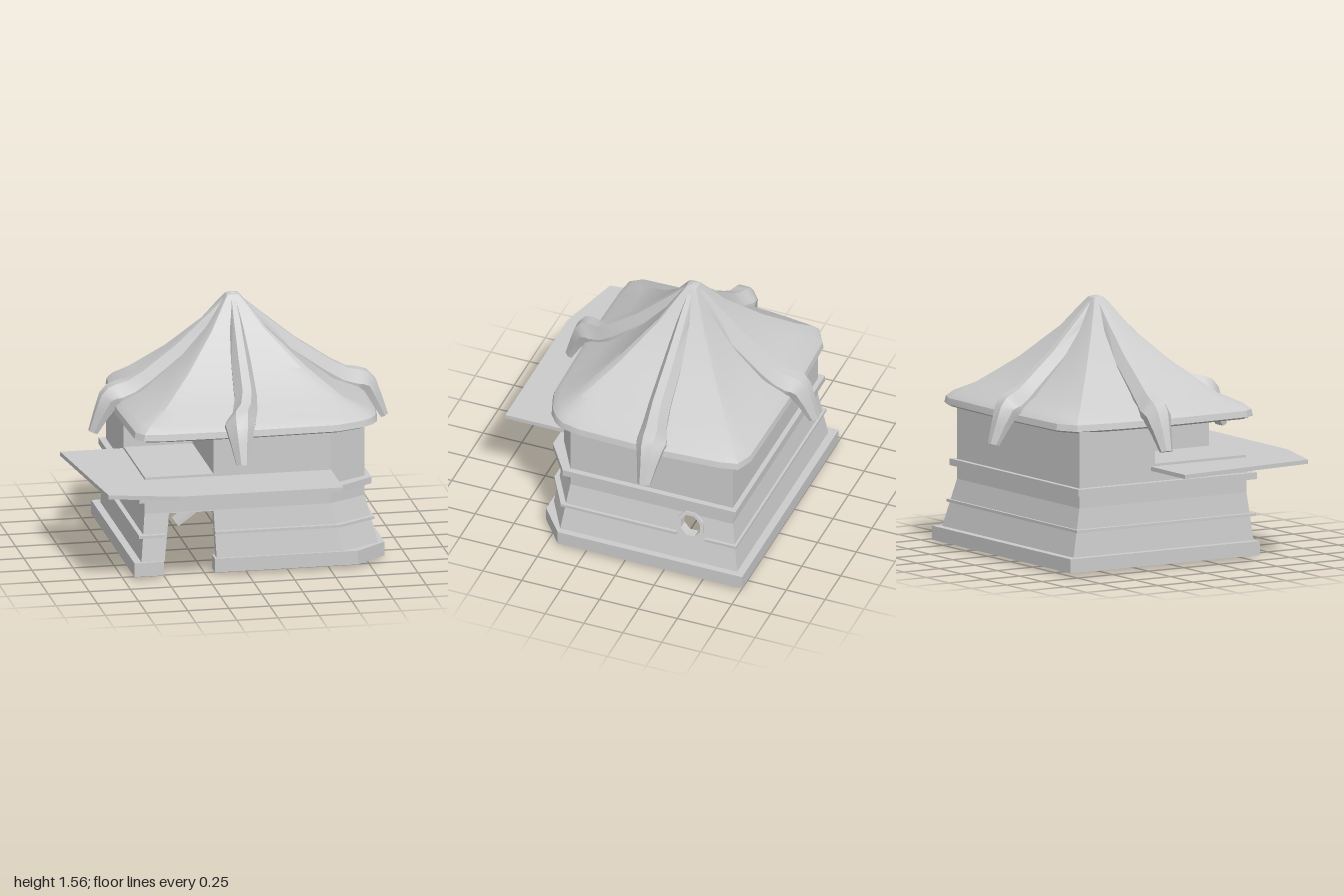
import * as THREE from 'three';
import { toCreasedNormals, mergeVertices } from 'three/addons/utils/BufferGeometryUtils.js';

const mat = new THREE.MeshStandardMaterial({ color: 0xcccccc, side: THREE.DoubleSide });
const flatMat = new THREE.MeshStandardMaterial({ color: 0xcccccc, side: THREE.DoubleSide, flatShading: true });

// Floor outlines: left, right, back, front, then the cut of the front-left corner in x and z
const BASE = [-0.69, 0.86, -0.76, 0.575, 0.19, 0.15];
const FOOT = [-0.645, 0.82, -0.712, 0.56, 0.235, 0.135];
const WALL = [-0.62, 0.745, -0.655, 0.525, 0.235, 0.135];
const BELT = [-0.66, 0.78, -0.685, 0.575, 0.22, 0.15];
const LEDGE = [-0.66, 0.797, -0.695, 0.566, 0.235, 0.135];

// Corners in order: front, cut corner, left side, back, right side
const corners = ([l, r, b, f, cx, cz]) =>
  [[l, f], [r - cx, f], [r, f - cz], [r, b], [l, b]].map(([x, z]) => new THREE.Vector2(x, z));

const outline = pts => new THREE.Shape(pts.map(p => new THREE.Vector2(...p)));
const rect = (s0, s1, y0, y1) => outline([[s0, y0], [s1, y0], [s1, y1], [s0, y1]]);

function octagon(s, y, rs, ry) {
  return Array.from({ length: 8 }, (_, i) => {
    const a = (i + 0.5) * Math.PI / 4;
    return new THREE.Vector2(s + Math.cos(a) * rs, y + Math.sin(a) * ry);
  });
}

// Wall panel: shape in (fraction along the side, height), bent between a lower and an upper outline
function panel(group, name, side, shape, lower, upper, y0, y1, depth, out = 0) {
  const lo = corners(lower), hi = corners(upper), next = (side + 1) % 5;
  const n = lo[next].clone().sub(lo[side]).normalize();
  const geo = new THREE.ExtrudeGeometry(shape, { depth, bevelEnabled: false });
  const p = geo.attributes.position;
  for (let i = 0; i < p.count; i++) {
    const y = p.getY(i), t = (y - y0) / (y1 - y0);
    const a = lo[side].clone().lerp(hi[side], t), b = lo[next].clone().lerp(hi[next], t);
    const q = a.lerp(b, p.getX(i)), d = p.getZ(i) - depth + out;
    p.setXYZ(i, q.x - n.y * d, y, q.y + n.x * d);
  }
  geo.computeVertexNormals();
  const mesh = new THREE.Mesh(geo, flatMat);
  mesh.name = name;
  group.add(mesh);
}

// Horizontal slab from [x, z] points
function slab(name, pts, y, height, hole) {
  const flip = list => list.map(([x, z]) => new THREE.Vector2(x, -z));
  const shape = new THREE.Shape(flip(pts));
  if (hole) shape.holes.push(new THREE.Path(flip(hole)));
  const geo = new THREE.ExtrudeGeometry(shape, { depth: height, bevelEnabled: false });
  geo.rotateX(-Math.PI / 2).translate(0, y, 0);
  const mesh = new THREE.Mesh(geo, flatMat);
  mesh.name = name;
  return mesh;
}

function box(name, w, h, d, x, y, z) {
  const mesh = new THREE.Mesh(new THREE.BoxGeometry(w, h, d), flatMat);
  mesh.position.set(x, y, z);
  mesh.name = name;
  return mesh;
}

// Skin over equal-sized closed rings of points
function loft(name, rings, capEnds, crease) {
  const n = rings[0].length, index = [];
  for (let k = 0; k < rings.length - 1; k++)
    for (let i = 0; i < n; i++) {
      const j = (i + 1) % n, a = k * n;
      index.push(a + i, a + j, a + n + i, a + j, a + n + j, a + n + i);
    }
  if (capEnds) {
    const e = (rings.length - 1) * n;
    for (let i = 1; i < n - 1; i++) index.push(0, i + 1, i, e, e + i, e + i + 1);
  }
  let geo = new THREE.BufferGeometry();
  geo.setAttribute('position', new THREE.Float32BufferAttribute(rings.flat(2), 3));
  geo.setIndex(index);
  geo = toCreasedNormals(mergeVertices(geo), crease);
  const mesh = new THREE.Mesh(geo, mat);
  mesh.name = name;
  return mesh;
}

const APEX = [0.04, -0.12];

// Concave tent roof: rounded eave, sharper corners further up
function roof() {
  const eave = [[-0.62, -0.67], [-0.5, -0.74], [0, -0.76], [0.7, -0.75], [0.8, -0.71], [0.825, -0.6],
    [0.85, -0.2], [0.84, 0.3], [0.815, 0.42], [0.775, 0.475], [0.71, 0.525], [0.55, 0.58], [0, 0.59], [-0.5, 0.58],
    [-0.63, 0.565], [-0.675, 0.5], [-0.69, 0], [-0.66, -0.4]].reverse();
  // [scale, height, corner sharpness]
  const profile = [[0.85, 0.86, 0], [0.97, 0.85, 0], [1, 0.862, 0], [0.99, 0.9, 0],
    [0.935, 0.935, 0.1], [0.75, 0.995, 0.8], [0.48, 1.16, 1], [0.22, 1.365, 1], [0.1, 1.495, 1],
    [0.05, 1.547, 0.5], [0.001, 1.56, 0]];
  return loft('roof', profile.map(([t, y, sharp]) => eave.map(([px, pz]) => {
    const x = px - APEX[0], z = pz - APEX[1];
    const reach = Math.max(Math.abs(x) / (x > 0 ? 0.81 : 0.73), Math.abs(z) / (z > 0 ? 0.71 : 0.64));
    const s = t * (1 + sharp * (1 / reach - 1));
    return [APEX[0] + x * s, y, APEX[1] + z * s];
  })), false, 0.45);
}

// Curved rib from the roof top to a drooping tip: [reach, height, half width, depth, share of sideways drift]
const RIB = [[0.02, 1.555, 0.025, 0.05, 0], [0.16, 1.44, 0.045, 0.1, 0], [0.4, 1.25, 0.06, 0.12, 0.05],
  [0.63, 1.1, 0.068, 0.13, 0.15], [0.73, 1.045, 0.075, 0.14, 0.4], [0.81, 1.025, 0.09, 0.15, 0.8],
  [0.87, 1.005, 0.092, 0.14, 0.92], [0.92, 0.955, 0.085, 0.11, 0.97], [0.96, 0.85, 0.062, 0.08, 1],
  [1, 0.732, 0.04, 0.048, 1]];

function rib(name, dx, dz, reach, drift) {
  const rings = RIB.map(([r, y, w, depth, share], i) => {
    const a = RIB[Math.max(i - 1, 0)], b = RIB[Math.min(i + 1, RIB.length - 1)];
    const normal = new THREE.Vector2(a[1] - b[1], (b[0] - a[0]) * reach).normalize();
    const section = [[-0.4, 0], [0.4, 0], [1, 0.5], [0.95, 1], [-0.95, 1], [-1, 0.5]];
    return section.map(([u, v]) => {
      const out = r * reach - normal.x * v * depth, up = y - normal.y * v * depth;
      const sideways = u * w + drift * share;
      return [APEX[0] + dx * out + dz * sideways, up, APEX[1] + dz * out - dx * sideways];
    });
  });
  return loft(name, rings, true, 0.55);
}

export function createModel() {
  const model = new THREE.Group();
  model.name = 'house';

  // Plinth, flared lower walls, ledge, belt and upper walls, side by side
  const full = [[0, 1]];
  for (let side = 0; side < 5; side++) {
    const front = side === 0, alcove = front || side === 4;
    for (const [a, b] of front ? [[0, 0.132], [0.36, 1]] : full)
      panel(model, 'plinth', side, rect(a, b, 0.025, 0.11), BASE, BASE, 0, 1, 0.09);

    // The front has the doorway, the left side the round window
    const wall = front
      ? outline([[0, 0.11], [0.115, 0.11], [0.132, 0.395], [0.372, 0.395], [0.372, 0.11], [1, 0.11], [1, 0.4], [0, 0.4]])
      : rect(0, 1, 0.11, 0.4);
    if (side === 2) wall.holes.push(new THREE.Path(octagon(0.742, 0.332, 0.062, 0.066)));
    panel(model, 'lowerWall', side, wall, FOOT, WALL, 0.11, 0.4, 0.05);

    // The ledge shows on both faces of the wall
    const ledges = front ? [[0, 0.13], [0.38, 1]] : side === 2 ? [[0, 0.66], [0.82, 1]] : full;
    for (const [a, b] of ledges)
      panel(model, 'ledge', side, rect(a, b, 0.258, 0.275), LEDGE, LEDGE, 0, 1, 0.095);
    panel(model, 'belt', side, rect(0, 1, 0.48, 0.52), BELT, BELT, 0, 1, 0.07);

    panel(model, 'middleWall', side, rect(0, 1, 0.4, 0.61), WALL, WALL, 0, 1, 0.05);
    const [a, b] = front ? [0.372, 1] : alcove ? [0, 0.453] : [0, 1];
    panel(model, 'upperWall', side, rect(a, b, 0.61, 0.87), WALL, WALL, 0, 1, 0.05);
  }

  // Round window frame on the left side
  const frame = new THREE.Shape(octagon(0.742, 0.335, 0.083, 0.086));
  frame.holes.push(new THREE.Path(octagon(0.742, 0.332, 0.062, 0.066)));
  panel(model, 'windowFrame', 2, frame, FOOT, WALL, 0.11, 0.4, 0.06, 0.012);

  // Recessed corner above the balcony
  model.add(box('alcoveBackWall', 0.42, 0.27, 0.04, -0.41, 0.735, -0.14));
  model.add(box('alcoveSideWall', 0.04, 0.27, 0.64, -0.18, 0.735, 0.2));

  // Balcony and inner floor with a stair opening
  model.add(slab('balcony', [[-1, -0.15], [-0.89, 0.79], [-0.48, 0.9], [0.515, 0.9], [0.515, -0.15]], 0.585, 0.025));
  model.add(slab('floor', corners(WALL).map(p => [p.x * 0.995, p.y * 0.995]), 0.6, 0.025,
    [[0.2, -0.6], [0.62, -0.6], [0.62, -0.4], [0.2, -0.4]]));

  // Stair ramp and a small table inside
  const ramp = box('ramp', 0.98, 0.025, 0.13, 0.17, 0.305, -0.535);
  ramp.rotation.z = 0.635;
  model.add(ramp);
  model.add(box('tableLeg', 0.07, 0.18, 0.06, 0.245, 0.115, -0.37));
  model.add(box('tableTop', 0.26, 0.04, 0.18, 0.245, 0.225, -0.37));

  // Roof with four ribs
  model.add(roof());
  model.add(rib('leftRib', 1, 0, 0.955, 0.05));
  model.add(rib('rightRib', -1, 0, 0.865, -0.03));
  model.add(rib('frontRib', 0, 1, 0.855, -0.095));
  model.add(rib('backRib', 0, -1, 0.785, 0.05));
  return model;
}
